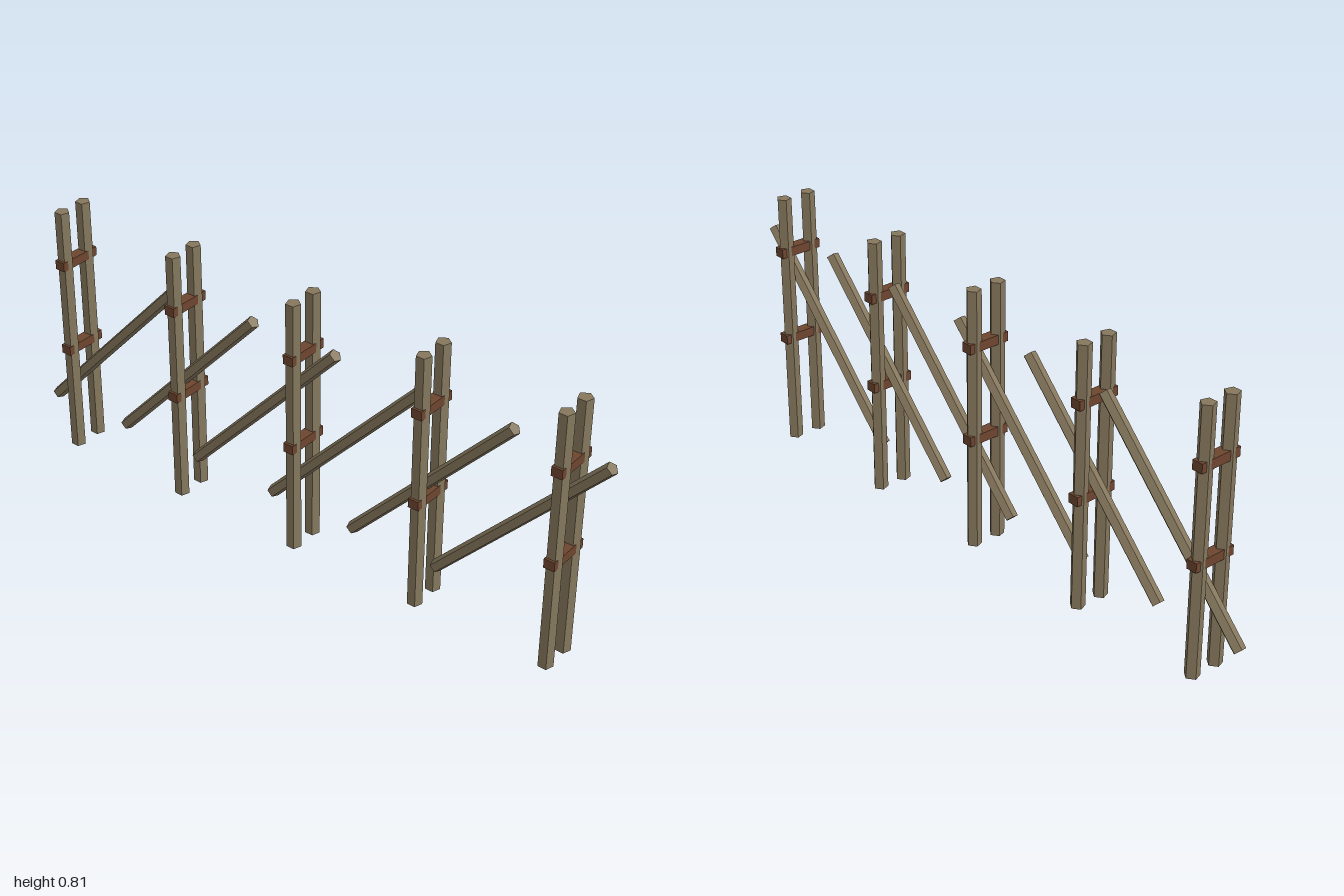
import * as THREE from 'three';

export function createModel() {
  const fence = new THREE.Group();
  fence.name = 'fence';

  const wood = new THREE.MeshStandardMaterial({ color: 0x85775d, flatShading: true });
  wood.name = 'weathered wood';
  const leather = new THREE.MeshStandardMaterial({ color: 0x6d452f, flatShading: true });
  leather.name = 'brown binding';

  // five-sided pole with its ridge toward the back
  const pole = (radius, length) =>
    new THREE.CylinderGeometry(radius, radius, length, 5, 1, false, Math.PI);

  const add = (name, geometry, material, x, y, z) => {
    const mesh = new THREE.Mesh(geometry, material);
    mesh.name = name;
    mesh.position.set(x, y, z);
    fence.add(mesh);
    return mesh;
  };

  // pairs of upright posts, tied together by two bindings
  const postHeight = 0.812;
  const postGeometry = pole(0.0227, postHeight);
  const bindingGeometry = new THREE.BoxGeometry(0.034, 0.029, 0.139);
  for (let i = -2; i <= 2; i++) {
    const x = i * 0.434;
    add('frontPost', postGeometry, wood, x, postHeight / 2, 0.045);
    add('backPost', postGeometry, wood, x, postHeight / 2, -0.042);
    add('lowerBinding', bindingGeometry, leather, x, 0.35, 0.001);
    add('upperBinding', bindingGeometry, leather, x, 0.64, 0.001);
  }

  // slanting rails held between the posts
  const run = 0.517, rise = 0.55;
  const railGeometry = pole(0.0195, Math.hypot(run, rise));
  for (let i = 0; i < 6; i++) {
    const rail = add('slantedRail', railGeometry, wood, (i - 2.5) * 0.2912, 0.393, 0.002);
    rail.rotation.z = -Math.atan2(run, rise);
  }

  return fence;
}
